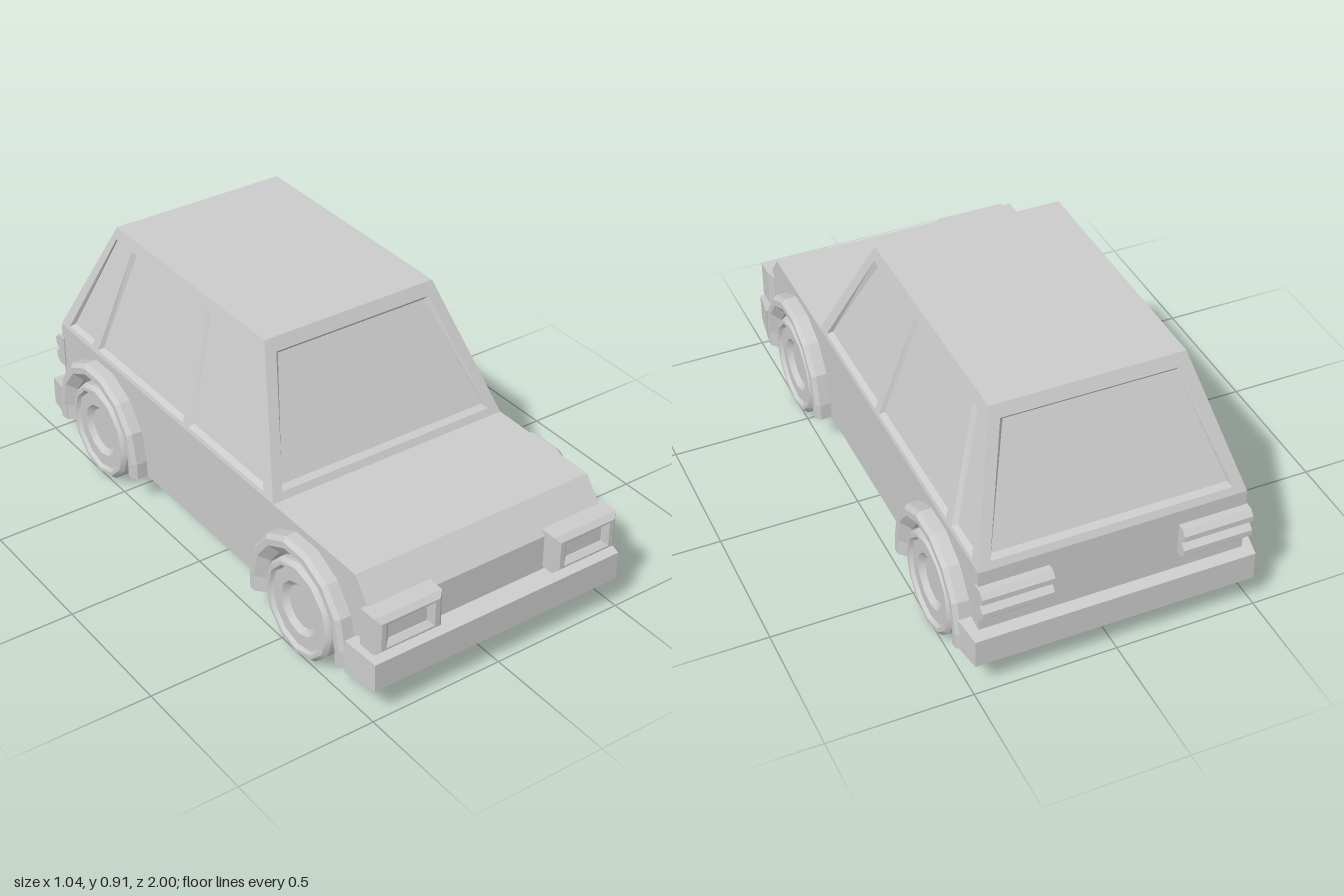
import * as THREE from 'three';
import { mergeGeometries, toCreasedNormals } from 'three/addons/utils/BufferGeometryUtils.js';

const grey = new THREE.MeshStandardMaterial({ color: 0xcccccc, side: THREE.DoubleSide });
const BELT = 0.468, ROOF = 0.918, SILL = 0.123;
const AXLES = [0.595, -0.65], WHEEL_Y = 0.184;

function add(parent, name, geo) {
  const mesh = new THREE.Mesh(geo, grey);
  mesh.name = name;
  parent.add(mesh);
  return mesh;
}

const shapeOf = pts => new THREE.Shape(pts.map(p => new THREE.Vector2(...p)));

// Extrudes a (z, y) side profile across the car from x0 to x1
function across(pts, x0, x1) {
  const geo = new THREE.ExtrudeGeometry(shapeOf(pts.map(([z, y]) => [-z, y])), { depth: x1 - x0, bevelEnabled: false });
  return geo.rotateY(Math.PI / 2).translate(x0, 0, 0);
}

// Joins equal rows of points with quads; each row is open
function skin(rows) {
  const pos = [];
  for (let i = 0; i + 1 < rows.length; i++) {
    for (let j = 0; j + 1 < rows[i].length; j++) {
      const a = rows[i][j], b = rows[i][j + 1], c = rows[i + 1][j + 1], d = rows[i + 1][j];
      pos.push(...a, ...b, ...c, ...a, ...c, ...d);
    }
  }
  const geo = new THREE.BufferGeometry();
  geo.setAttribute('position', new THREE.Float32BufferAttribute(pos, 3));
  geo.computeVertexNormals();
  return geo;
}

// Sloping cabin wall with recessed windows; place(u, y, depth) puts it in space
function cabinWall(outline, windows, place, flip) {
  const face = (shape, depth) => {
    const geo = new THREE.ShapeGeometry(shape).toNonIndexed();
    geo.deleteAttribute('uv');
    const p = geo.attributes.position;
    for (let i = 0; i < p.count; i++) p.setXYZ(i, ...place(p.getX(i), p.getY(i), depth));
    if (flip) {
      for (let i = 0; i < p.count; i += 3) {
        const b = [p.getX(i + 1), p.getY(i + 1), p.getZ(i + 1)];
        p.setXYZ(i + 1, p.getX(i + 2), p.getY(i + 2), p.getZ(i + 2));
        p.setXYZ(i + 2, ...b);
      }
    }
    geo.computeVertexNormals();
    return geo;
  };
  const wall = shapeOf(outline), parts = [];
  for (const win of windows) {
    const cu = win.reduce((s, p) => s + p[0], 0) / 4, cy = win.reduce((s, p) => s + p[1], 0) / 4;
    const pane = win.map(([u, y]) => [u - Math.sign(u - cu) * 0.012, y - Math.sign(y - cy) * 0.012]);
    wall.holes.push(new THREE.Path(win.map(p => new THREE.Vector2(...p))));
    const ring = (pts, d) => [...pts, pts[0]].map(([u, y]) => place(u, y, d));
    const rows = [ring(win, 0), ring(pane, 0.015)];
    parts.push(skin(flip ? rows.reverse() : rows), face(shapeOf(pane), 0.015));
  }
  return mergeGeometries([face(wall, 0), ...parts]);
}

// Wheel arch flare: a bevelled section swept over the wheel and down to the sill
function archGeometry() {
  const section = [[0.19, 0.44], [0.19, 0.49], [0.225, 0.52], [0.248, 0.52], [0.262, 0.505], [0.262, 0.44]];
  const drop = SILL - WHEEL_Y, n = 7;
  const row = (a, dy) => section.map(([r, x]) => [x, r * Math.sin(a) + dy, r * Math.cos(a)]);
  const rows = [row(0, drop)];
  for (let i = 0; i <= n; i++) rows.push(row(Math.PI * i / n, 0));
  rows.push(row(Math.PI, drop));
  const cap = (r, back) => skin(back ? [[r[5], r[4], r[3]], [r[0], r[1], r[2]]] : [[r[0], r[1], r[2]], [r[5], r[4], r[3]]]);
  return mergeGeometries([skin(rows), cap(rows[0], true), cap(rows[n + 2], false)]);
}

function wheelGeometry() {
  const profile = [[0, 0.36], [0.165, 0.36], [0.181, 0.374], [0.181, 0.497], [0.168, 0.512], [0.155, 0.512],
    [0.145, 0.5], [0.098, 0.5], [0.078, 0.482], [0, 0.482]].map(p => new THREE.Vector2(...p));
  const geo = new THREE.LatheGeometry(profile, 12).rotateZ(-Math.PI / 2);
  return toCreasedNormals(geo, 0.6);
}

// Bumper bar whose outer face is slightly smaller than its back
function bumperGeometry() {
  const geo = new THREE.BoxGeometry(1.03, 0.125, 0.13).toNonIndexed();
  const p = geo.attributes.position;
  for (let i = 0; i < p.count; i++) {
    if (p.getZ(i) < 0) continue;
    p.setX(i, p.getX(i) * 0.958);
    if (p.getY(i) > 0) p.setY(i, 0.042);
  }
  geo.computeVertexNormals();
  return geo;
}

function rect(x0, y0, x1, y1) {
  return [[x0, y0], [x1, y0], [x1, y1], [x0, y1]];
}

export function createModel() {
  const car = new THREE.Group();
  car.name = 'car';

  // Lower body: full core, with arched cut-outs in the outer slabs
  const top = [[-0.955, BELT], [0.85, BELT], [0.93, 0.365], [0.93, SILL]];
  const sill = [];
  for (const z of AXLES) {
    sill.push([z + 0.2, SILL]);
    for (let i = 0; i <= 7; i++) {
      const a = Math.PI * i / 7;
      sill.push([z + 0.2 * Math.cos(a), WHEEL_Y + 0.2 * Math.sin(a)]);
    }
    sill.push([z - 0.2, SILL]);
  }
  add(car, 'bodyCore', across([[-0.955, SILL], ...top], -0.33, 0.33));
  for (const s of [-1, 1]) {
    const x = s > 0 ? [0.33, 0.465] : [-0.465, -0.33];
    add(car, s > 0 ? 'leftBodySide' : 'rightBodySide', across([...top, ...sill, [-0.955, SILL]], ...x));
  }
  const pan = add(car, 'underbody', new THREE.BoxGeometry(0.514, 0.06, 1.685));
  pan.position.set(0, 0.11, -0.022);

  // Cabin walls leaning in towards the roof
  const lerp = (y, a, b) => a + (b - a) * (y - BELT) / (ROOF - BELT);
  const cabin = new THREE.Group();
  cabin.name = 'cabin';
  car.add(cabin);
  const sideOutline = [[0.405, BELT], [0.175, ROOF], [-0.74, ROOF], [-0.955, BELT]];
  const lo = 0.482, hi = 0.878;
  const sideWindows = [
    [[0.345, lo], [0.155, hi], [-0.152, hi], [-0.106, lo]],
    [[-0.138, lo], [-0.192, hi], [-0.622, hi], [-0.7, lo]],
    [[-0.742, lo], [-0.655, hi], [-0.728, hi], [-0.9, lo]],
  ];
  for (const s of [-1, 1]) {
    const place = (z, y, d) => [s * (lerp(y, 0.465, 0.335) - d), y, z];
    add(cabin, s > 0 ? 'leftCabinSide' : 'rightCabinSide', cabinWall(sideOutline, sideWindows, place, s > 0));
  }
  const endOutline = [[-0.465, BELT], [0.465, BELT], [0.335, ROOF], [-0.335, ROOF]];
  const endWindow = [[-0.42, 0.492], [0.42, 0.492], [0.305, 0.876], [-0.305, 0.876]];
  add(cabin, 'windscreen', cabinWall(endOutline, [endWindow], (x, y, d) => [x, y, lerp(y, 0.405, 0.175) - d], false));
  add(cabin, 'rearWindow', cabinWall(endOutline, [endWindow], (x, y, d) => [x, y, lerp(y, -0.955, -0.74) + d], true));
  const roof = add(cabin, 'roof', new THREE.PlaneGeometry(0.67, 0.915).rotateX(-Math.PI / 2));
  roof.position.set(0, ROOF, -0.2825);

  // Wheels and flares
  const wheel = wheelGeometry(), arch = archGeometry();
  AXLES.forEach((z, i) => {
    for (const s of [-1, 1]) {
      const corner = new THREE.Group();
      corner.name = (i ? 'rear' : 'front') + (s > 0 ? 'Left' : 'Right') + 'Corner';
      corner.position.set(0, WHEEL_Y, z);
      corner.rotation.y = s > 0 ? 0 : Math.PI;
      add(corner, 'wheel', wheel);
      add(corner, 'wheelArch', arch);
      car.add(corner);
    }
  });

  // Bumpers
  const bumper = bumperGeometry();
  add(car, 'frontBumper', bumper).position.set(0, 0.182, 0.932);
  const rear = add(car, 'rearBumper', bumper);
  rear.position.set(0, 0.182, -0.932);
  rear.rotation.y = Math.PI;

  // Headlights: bevelled housing around a sunken lens
  const frame = shapeOf(rect(-0.112, -0.052, 0.112, 0.052));
  frame.holes.push(new THREE.Path(rect(-0.098, -0.057, 0.098, 0.057).map(([x, y]) => new THREE.Vector2(x * 0.96, y * 0.82))));
  const housing = new THREE.ExtrudeGeometry(frame, { depth: 0.07, bevelThickness: 0.016, bevelSize: 0.018, bevelSegments: 1 });
  // Tail lights: two stacked ridges
  const ridges = [[-0.94, 0.295], [-0.98, 0.295], [-0.998, 0.315], [-0.998, 0.335], [-0.978, 0.354],
    [-0.998, 0.373], [-0.998, 0.393], [-0.98, 0.413], [-0.94, 0.413]];
  for (const s of [-1, 1]) {
    const side = s > 0 ? 'left' : 'right';
    add(car, side + 'HeadlightHousing', housing).position.set(s * 0.355, 0.315, 0.906);
    add(car, side + 'HeadlightLens', new THREE.BoxGeometry(0.2, 0.1, 0.06)).position.set(s * 0.355, 0.315, 0.942);
    add(car, side + 'TailLight', s > 0 ? across(ridges, 0.225, 0.47) : across(ridges, -0.47, -0.225));
  }
  return car;
}
